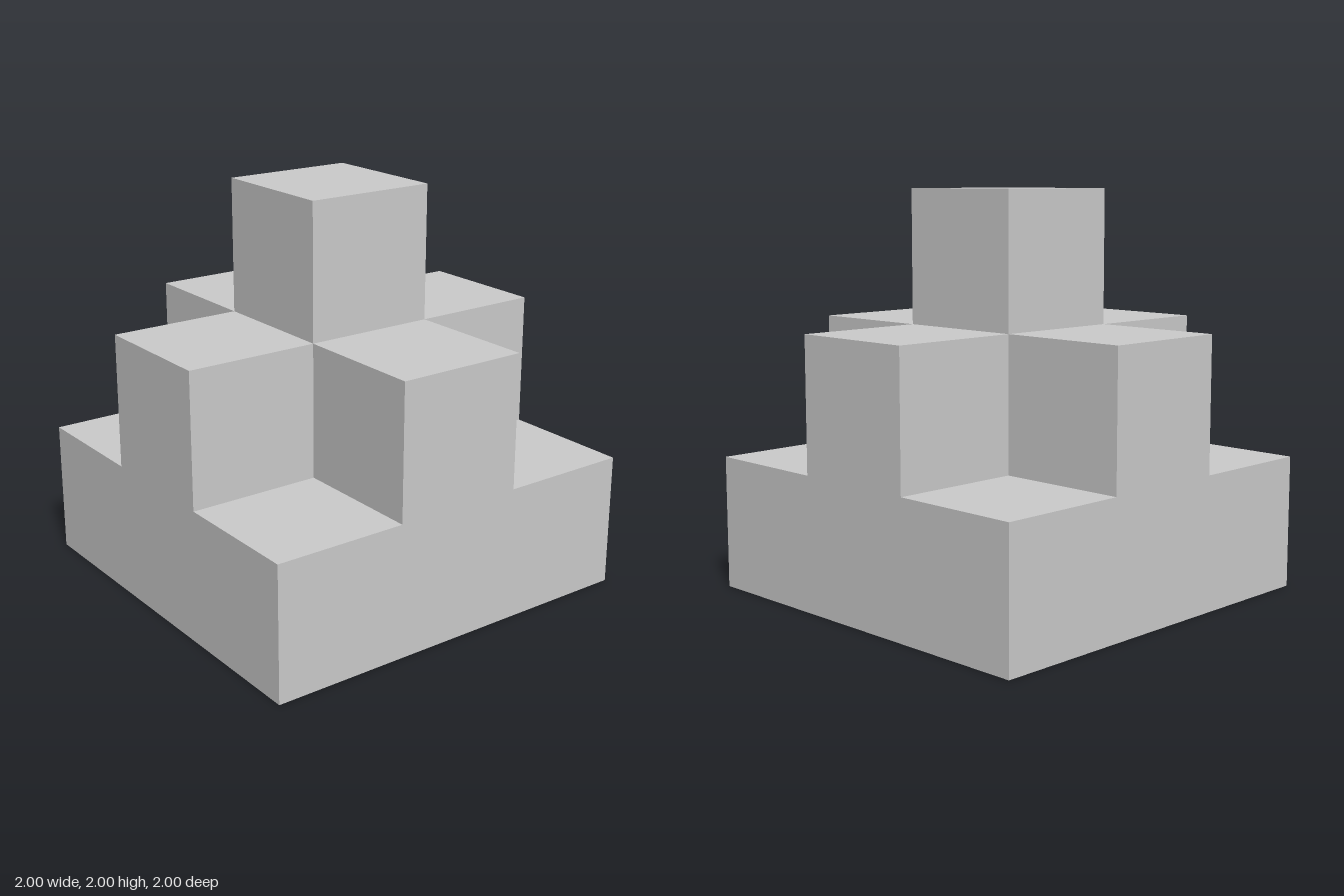
import * as THREE from 'three';

const UNIT = 2 / 3; // edge of one cube; the model is three cubes wide and high

export function createModel() {
  const group = new THREE.Group();
  group.name = 'steppedBlock';
  const material = new THREE.MeshStandardMaterial({ color: 0xcccccc, flatShading: true });

  const add = (name, geometry, y) => {
    const mesh = new THREE.Mesh(geometry, material);
    mesh.name = name;
    mesh.position.y = y;
    group.add(mesh);
  };

  // Square bottom layer
  add('baseSlab', new THREE.BoxGeometry(3 * UNIT, UNIT, 3 * UNIT), UNIT / 2);

  // Plus-shaped middle layer: one arm's three corners, turned to all four sides
  const a = UNIT / 2, b = 1.5 * UNIT;
  const points = [];
  for (let i = 0; i < 4; i++) {
    for (const [x, y] of [[b, -a], [b, a], [a, a]]) {
      points.push(new THREE.Vector2(x, y).rotateAround(new THREE.Vector2(), i * Math.PI / 2));
    }
  }
  const cross = new THREE.ExtrudeGeometry(new THREE.Shape(points), { depth: UNIT, bevelEnabled: false });
  cross.rotateX(-Math.PI / 2);
  add('middleCross', cross, UNIT);

  // Single cube on top
  add('topCube', new THREE.BoxGeometry(UNIT, UNIT, UNIT), 2.5 * UNIT);

  return group;
}
